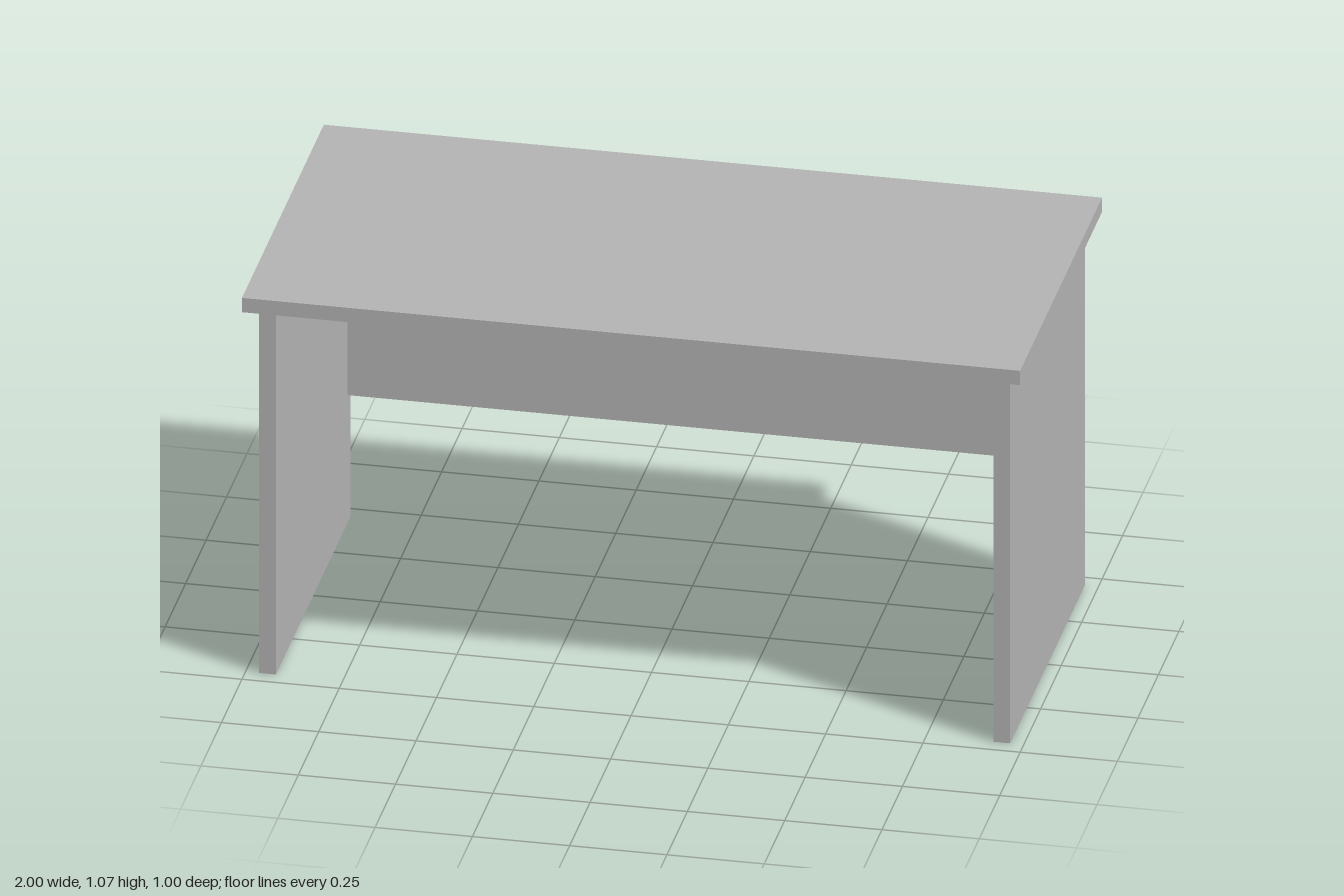
import * as THREE from 'three';

export function createModel() {
  const desk = new THREE.Group();
  desk.name = 'desk';

  const grey = new THREE.MeshStandardMaterial({ color: 0xb2b2b2 });
  grey.name = 'grey';

  // Adds a flat board spanning the given x, y and z ranges
  function board(name, [x0, x1], [y0, y1], [z0, z1]) {
    const mesh = new THREE.Mesh(new THREE.BoxGeometry(x1 - x0, y1 - y0, z1 - z0), grey);
    mesh.position.set((x0 + x1) / 2, (y0 + y1) / 2, (z0 + z1) / 2);
    mesh.name = name;
    desk.add(mesh);
  }

  const legInner = 0.922, legOuter = 0.965, legTop = 1.031;

  // Overhanging top
  board('deskTop', [-1, 1], [legTop, 1.071], [-0.5, 0.5]);

  // Slab legs at both ends
  board('leftLeg', [legInner, legOuter], [0, legTop], [-0.456, 0.456]);
  board('rightLeg', [-legOuter, -legInner], [0, legTop], [-0.456, 0.456]);

  // Thin panel between the legs, just inside their back edges, with a gap under the top
  board('modestyPanel', [-legInner, legInner], [0.36, 1.0], [-0.436, -0.417]);

  return desk;
}
